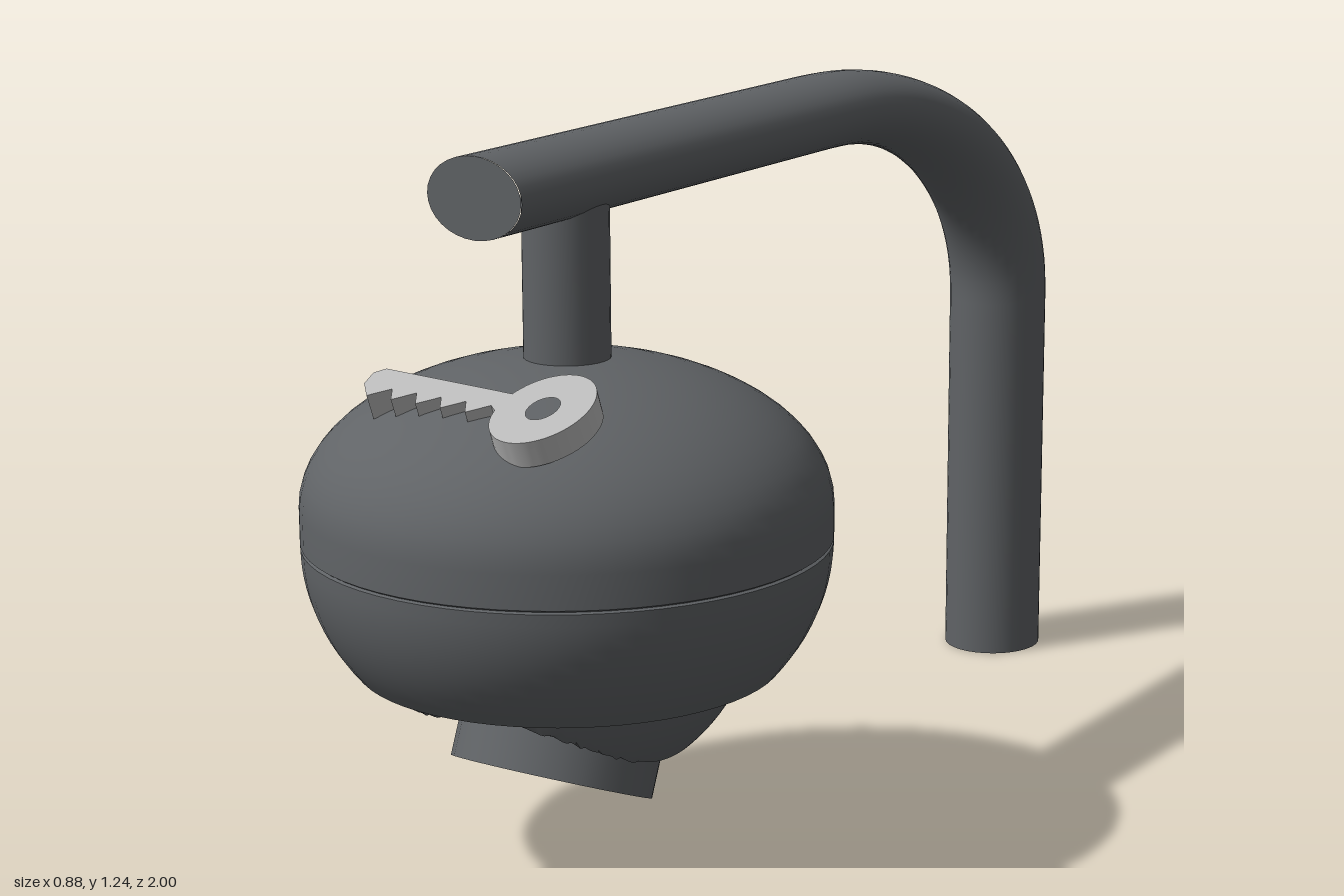
import * as THREE from 'three';
import { toCreasedNormals } from 'three/addons/utils/BufferGeometryUtils.js';

const DARK = 0x606366, LIGHT = 0xbbbbbb, RED = 0x701820;

function part(name, geometry, color, doubleSided = false) {
  const material = new THREE.MeshStandardMaterial({ color });
  if (doubleSided) material.side = THREE.DoubleSide;
  const mesh = new THREE.Mesh(geometry, material);
  mesh.name = name;
  return mesh;
}

// Lathe from [radius, height] pairs listed bottom to top
function lathe(profile, sides, crease = 0.5) {
  const points = profile.map(([r, y]) => new THREE.Vector2(r, y));
  return toCreasedNormals(new THREE.LatheGeometry(points, sides), crease);
}

// Bent support pipe, round before the group is flattened in y
function createArm() {
  const arm = new THREE.Group();
  arm.name = 'supportArm';
  const sy = 0.72, sz = 1.05, radius = 0.093;
  const at = (y, z) => new THREE.Vector3(-0.031 + 0.0335 * (z + 0.902) / 1.697, y / sy, z / sz);
  const bend = [];
  for (let i = 0; i <= 16; i++) {
    const a = (i / 16) * Math.PI / 2;
    bend.push(at(0.72 + 0.45 * Math.sin(a), -0.22 - 0.682 * Math.cos(a)));
  }
  const foot = at(0, -0.902), tip = at(1.17, 0.795);
  const path = new THREE.CurvePath();
  path.add(new THREE.LineCurve3(foot, bend[0]));
  path.add(new THREE.CatmullRomCurve3(bend));
  path.add(new THREE.LineCurve3(bend[16], tip));
  arm.add(part('armPipe', new THREE.TubeGeometry(path, 90, radius, 32), DARK));
  const cap = new THREE.CircleGeometry(radius, 32);
  const footCap = part('armFootCap', cap, DARK);
  footCap.position.copy(foot);
  footCap.rotation.x = Math.PI / 2;
  const tipCap = part('armTipCap', cap, DARK);
  tipCap.position.copy(tip);
  arm.add(footCap, tipCap);
  arm.scale.set(1, sy, sz);
  return arm;
}

// Round housing: upper dome, lower bowl with a rim, neck and slotted eyeball
function createBody() {
  const body = new THREE.Group();
  body.name = 'housing';
  body.position.z = 0.56;

  const upper = [[0.434, 0.569], [0.44, 0.573]];
  for (let i = 0; i <= 16; i++) {
    const a = (i / 16) * Math.PI / 2;
    upper.push([0.44 * Math.cos(a), 0.63 + 0.245 * Math.sin(a)]);
  }
  body.add(part('upperShell', lathe(upper, 64), DARK));

  const lower = [[0.295, 0.355]];
  for (let i = 0; i <= 10; i++) {
    const y = 0.355 + 0.0212 * i;
    lower.push([0.44 * Math.sqrt(1 - ((y - 0.57) / 0.364) ** 2), y]);
  }
  lower.push([0.434, 0.57]);
  body.add(part('lowerShell', lathe(lower, 64), DARK));

  const neck = part('neck', new THREE.CylinderGeometry(0.072, 0.072, 0.3, 32), DARK);
  neck.position.set(0, 1.0, -0.005);
  body.add(neck);

  // Spherical underside with an arched channel running front to back
  const eyeball = new THREE.PlaneGeometry(2, 2, 96, 40);
  const p = eyeball.attributes.position;
  for (let i = 0; i < p.count; i++) {
    const x = 0.304 * p.getX(i);
    const z = p.getY(i) * Math.sqrt(Math.max(0, 0.304 ** 2 - x * x));
    let y = 0.46 - Math.sqrt(0.315 ** 2 - x * x - z * z);
    if (Math.abs(x) < 0.205) y = Math.max(y, 0.222 + 0.12 * Math.sqrt(1 - (x / 0.205) ** 2));
    p.setXYZ(i, x, y, z);
  }
  body.add(part('eyeball', toCreasedNormals(eyeball, 0.6), DARK, true));
  return body;
}

// Tilted camera barrel, its face at local y = 0 looking along -y
function createCamera() {
  const camera = new THREE.Group();
  camera.name = 'cameraBarrel';
  camera.position.set(0, 0.1635, 0.614);
  camera.rotation.x = -0.392;
  camera.add(part('barrel', lathe([[0, 0.025], [0.12, 0.025], [0.12, 0], [0.172, 0], [0.172, 0.24], [0, 0.24]], 28), DARK));
  camera.add(part('lensRing', lathe([[0.086, 0.016], [0.112, 0.01], [0.12, 0.003]], 32), DARK, true));
  const lens = part('lens', new THREE.CylinderGeometry(0.087, 0.087, 0.012, 32), RED);
  lens.position.y = 0.018;
  camera.add(lens);
  return camera;
}

// Toothed key lying on the front slope of the housing
function createKey() {
  const shape = new THREE.Shape();
  const start = Math.PI - 0.25;
  shape.moveTo(0.137 + 0.08 * Math.cos(start), 0.099 * Math.sin(start));
  shape.absellipse(0.137, 0, 0.08, 0.099, start, -start, true);
  for (let i = 0; i < 5; i++) {
    const u = 0.045 - i * 0.05;
    shape.lineTo(u, -0.014);
    shape.lineTo(u - 0.032, -0.042);
  }
  shape.lineTo(-0.215, -0.012);
  shape.lineTo(-0.22, 0.02);
  shape.lineTo(-0.205, 0.036);
  const hole = new THREE.Path();
  hole.absellipse(0.137, 0, 0.026, 0.032, 0, Math.PI * 2, true);
  shape.holes.push(hole);
  const geometry = new THREE.ExtrudeGeometry(shape, { depth: 0.045, bevelEnabled: false, curveSegments: 28 });
  geometry.translate(0, 0, -0.045);
  const key = part('key', toCreasedNormals(geometry, 0.5), LIGHT);
  key.position.set(0, 0.853, 0.802);
  key.rotation.x = -1.209;
  return key;
}

export function createModel() {
  const model = new THREE.Group();
  model.name = 'hangingCamera';
  model.add(createArm(), createBody(), createCamera(), createKey());
  return model;
}
